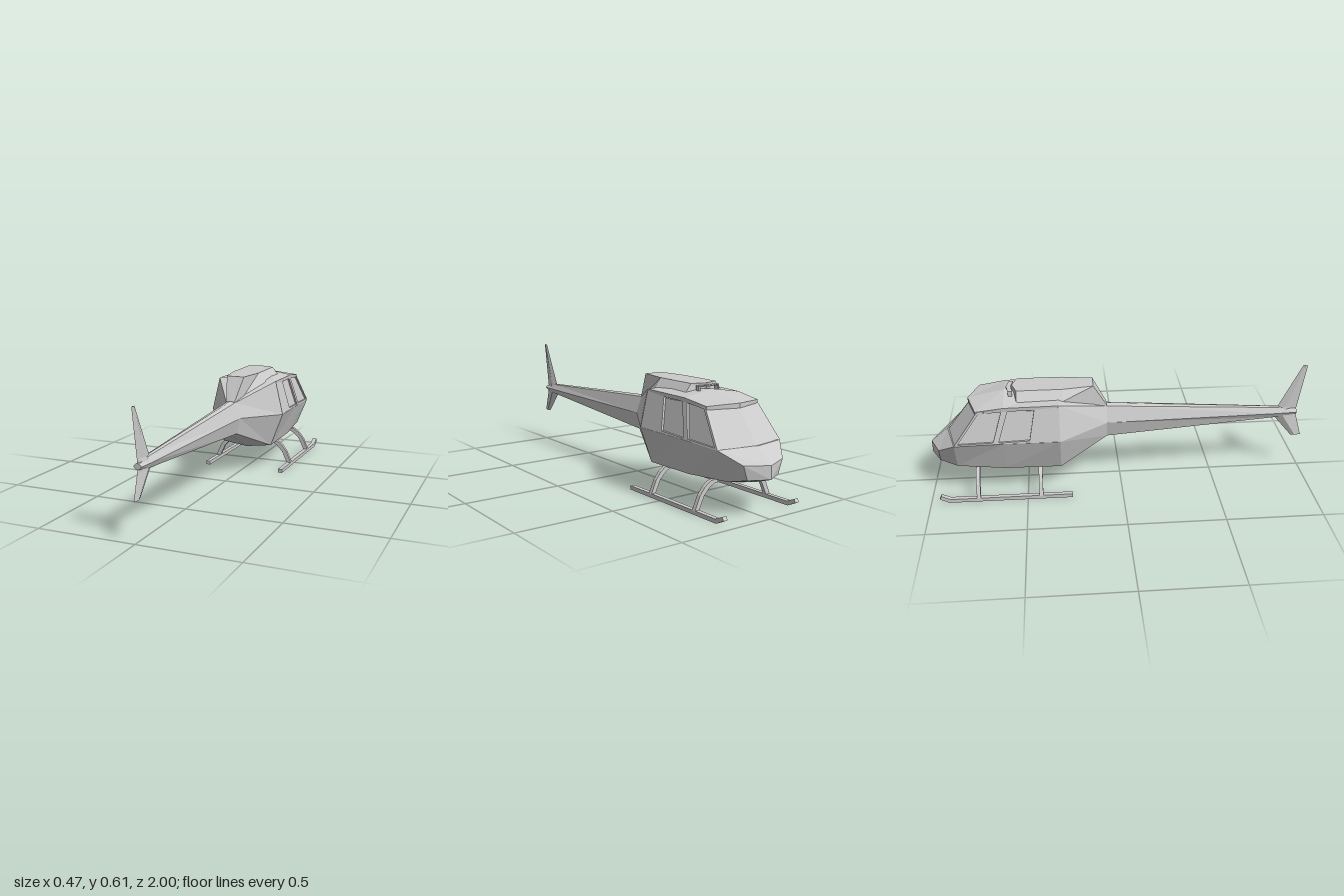
import * as THREE from 'three';

const material = new THREE.MeshStandardMaterial({ color: 0xcccccc, flatShading: true });

function part(name, geometry) {
  const mesh = new THREE.Mesh(geometry, material);
  mesh.name = name;
  return mesh;
}

// Closed skin through rings of [x, y, z] points, with end caps, always facing outward
function loft(rings) {
  const tris = [];
  const n = rings[0].length;
  for (let i = 0; i + 1 < rings.length; i++) {
    for (let j = 0; j < n; j++) {
      const k = (j + 1) % n;
      const a = rings[i][j], b = rings[i][k], c = rings[i + 1][k], d = rings[i + 1][j];
      tris.push([a, b, c], [a, c, d]);
    }
  }
  const first = rings[0], last = rings[rings.length - 1];
  for (let j = 1; j + 1 < n; j++) {
    tris.push([first[0], first[j + 1], first[j]], [last[0], last[j], last[j + 1]]);
  }
  let volume = 0;
  const [u, v, w] = [0, 1, 2].map(() => new THREE.Vector3());
  for (const [a, b, c] of tris) {
    volume += u.fromArray(a).dot(v.fromArray(b).cross(w.fromArray(c)));
  }
  if (volume < 0) tris.forEach((t) => t.reverse());
  const geometry = new THREE.BufferGeometry();
  geometry.setAttribute('position', new THREE.Float32BufferAttribute(tris.flat(2), 3));
  geometry.computeVertexNormals();
  return geometry;
}

// Half section, from the bottom centre round the left side to the top centre.
// z is for the outer points; zMid, if given, for the centre line.
function ring(z, half, zMid = z) {
  const left = half.map(([x, y]) => [x, y, x === 0 ? zMid : z]);
  const right = left.filter((p) => p[0] !== 0).reverse().map(([x, y, d]) => [-x, y, d]);
  return [...left, ...right];
}

const shapeOf = (points) => new THREE.Shape(points.map((p) => new THREE.Vector2(...p)));

// Side profile in (z, y), extruded towards -x from x = 0
function sideExtrude(shape, depth) {
  return new THREE.ExtrudeGeometry(shape, { depth, bevelEnabled: false }).rotateY(-Math.PI / 2);
}

// Outer surface of the cabin wall
const wallX = (y, z) => 0.213 - 0.045 * (y - 0.32) / 0.19 + 0.042 * (z + 0.32);

// Door wall with two window openings
function doorFrame() {
  const shape = shapeOf([[-0.32, 0.325], [-0.32, 0.5], [-0.735, 0.48], [-0.86, 0.31], [-0.61, 0.32]]);
  const windows = [
    [[-0.445, 0.492], [-0.58, 0.484], [-0.632, 0.325], [-0.475, 0.333]],
    [[-0.612, 0.483], [-0.725, 0.475], [-0.84, 0.318], [-0.66, 0.326]],
  ];
  windows.forEach((w) => shape.holes.push(shapeOf(w)));
  const geometry = sideExtrude(shape, 0.016);
  const p = geometry.attributes.position;
  for (let i = 0; i < p.count; i++) p.setX(i, p.getX(i) + wallX(p.getY(i), p.getZ(i)));
  geometry.computeVertexNormals();
  return geometry;
}

// Fin section: a lozenge from front edge to rear edge
const lozenge = (y, front, rear, w) => [
  [0, y, front], [w, y, front * 0.6 + rear * 0.4], [0, y, rear], [-w, y, front * 0.6 + rear * 0.4],
];

export function createModel() {
  const model = new THREE.Group();
  model.name = 'helicopter';

  // Lower hull and nose
  model.add(part('lowerHull', loft([
    ring(-0.32, [[0, 0.12], [0.145, 0.14], [0.214, 0.325], [0, 0.325]]),
    ring(-0.61, [[0, 0.13], [0.145, 0.143], [0.202, 0.32], [0, 0.32]]),
    ring(-0.86, [[0, 0.15], [0.13, 0.16], [0.191, 0.31], [0, 0.315]], -0.91),
    ring(-0.95, [[0, 0.18], [0.095, 0.18], [0.12, 0.25], [0, 0.245]], -1),
  ])));

  // Cabin glass, set slightly inside the door frames
  const glassRing = (y, frontZ, midZ) => {
    const rear = wallX(y, -0.32) - 0.012, front = wallX(y, frontZ) - 0.01;
    return [[rear, y, -0.32], [front, y, frontZ], [0, y, midZ], [-front, y, frontZ], [-rear, y, -0.32]];
  };
  model.add(part('cabinGlass', loft([
    glassRing(0.312, -0.857, -0.905),
    glassRing(0.482, -0.732, -0.775),
  ])));

  // Roof with a small overhang above the windscreen
  model.add(part('roof', loft([
    ring(-0.32, [[0, 0.485], [0.17, 0.492], [0.17, 0.51], [0, 0.515]]),
    ring(-0.6, [[0, 0.485], [0.164, 0.485], [0.165, 0.505], [0, 0.532]]),
    ring(-0.742, [[0, 0.468], [0.154, 0.468], [0.158, 0.485], [0, 0.491]], -0.79),
  ])));

  // Rear of the cabin, narrowing to the boom
  const boomStart = [[0, 0.24], [0.037, 0.252], [0.057, 0.34], [0.025, 0.423], [0, 0.43]];
  model.add(part('rearHull', loft([
    ring(-0.32, [[0, 0.12], [0.145, 0.14], [0.214, 0.325], [0.17, 0.51], [0, 0.515]]),
    ring(-0.07, boomStart),
  ])));

  model.add(part('tailBoom', loft([
    ring(-0.07, boomStart),
    ring(0.86, [[0, 0.308], [0.015, 0.312], [0.027, 0.338], [0.011, 0.366], [0, 0.37]]),
    ring(0.96, [[0, 0.322], [0.01, 0.324], [0.02, 0.338], [0.008, 0.35], [0, 0.352]]),
  ])));

  // Engine cover
  model.add(part('engineCover', loft([
    ring(-0.07, [[0, 0.405], [0.025, 0.41], [0.025, 0.43], [0, 0.433]]),
    ring(-0.14, [[0, 0.43], [0.05, 0.45], [0.05, 0.555], [0, 0.555]]),
    ring(-0.3, [[0, 0.49], [0.115, 0.505], [0.075, 0.555], [0, 0.555]]),
    ring(-0.535, [[0, 0.5], [0.115, 0.505], [0.075, 0.555], [0, 0.555]], -0.56),
  ])));

  // Air intake: a shallow bent frame with an open mouth
  const intake = new THREE.Group();
  intake.name = 'airIntake';
  const bar = (y0, y1, w) => loft([
    [[-w, y0, -0.555], [0, y0, -0.565], [w, y0, -0.555]],
    [[-w, y0, -0.578], [0, y0, -0.59], [w, y0, -0.578]],
    [[-w, y1, -0.578], [0, y1, -0.59], [w, y1, -0.578]],
    [[-w, y1, -0.555], [0, y1, -0.565], [w, y1, -0.555]],
  ].reduce((r, row) => { row.forEach((p, i) => r[i].push(p)); return r; }, [[], [], []]));
  intake.add(part('intakeTop', bar(0.542, 0.547, 0.062)));
  for (const s of [-1, 1]) {
    const post = part('intakeSide', new THREE.BoxGeometry(0.008, 0.03, 0.022));
    post.position.set(s * 0.058, 0.53, -0.567);
    intake.add(post);
  }
  model.add(intake);

  // Tail fins
  model.add(part('upperFin', loft([
    lozenge(0.338, 0.845, 0.957, 0.02),
    lozenge(0.37, 0.857, 0.963, 0.012),
    lozenge(0.605, 0.972, 0.998, 0.004),
  ])));
  model.add(part('lowerFin', loft([
    lozenge(0.345, 0.825, 0.957, 0.02),
    lozenge(0.31, 0.842, 0.964, 0.016),
    lozenge(0.19, 0.945, 1, 0.007),
  ])));

  // Door frames and landing gear, one set per side
  const legShape = shapeOf([
    [0.1, 0.13], [0.12, 0.13], [0.145, 0.118], [0.18, 0.083], [0.21, 0.018],
    [0.235, 0.018], [0.206, 0.085], [0.177, 0.122], [0.145, 0.145], [0.1, 0.15],
  ]);
  const skidShape = shapeOf([
    [-0.265, 0], [-0.265, 0.02], [-0.9, 0.02], [-0.945, 0.041], [-0.955, 0.024], [-0.907, 0],
  ]);
  for (const side of [1, -1]) {
    const group = new THREE.Group();
    group.name = side > 0 ? 'leftSide' : 'rightSide';
    group.scale.x = side;
    group.add(part('doorFrame', doorFrame()));
    group.add(part('skid', sideExtrude(skidShape, 0.024).translate(0.234, 0, 0)));
    for (const z of [-0.43, -0.755]) {
      const leg = new THREE.ExtrudeGeometry(legShape, { depth: 0.02, bevelEnabled: false });
      group.add(part('skidLeg', leg.translate(0, 0, z - 0.01)));
    }
    model.add(group);
  }
  return model;
}
